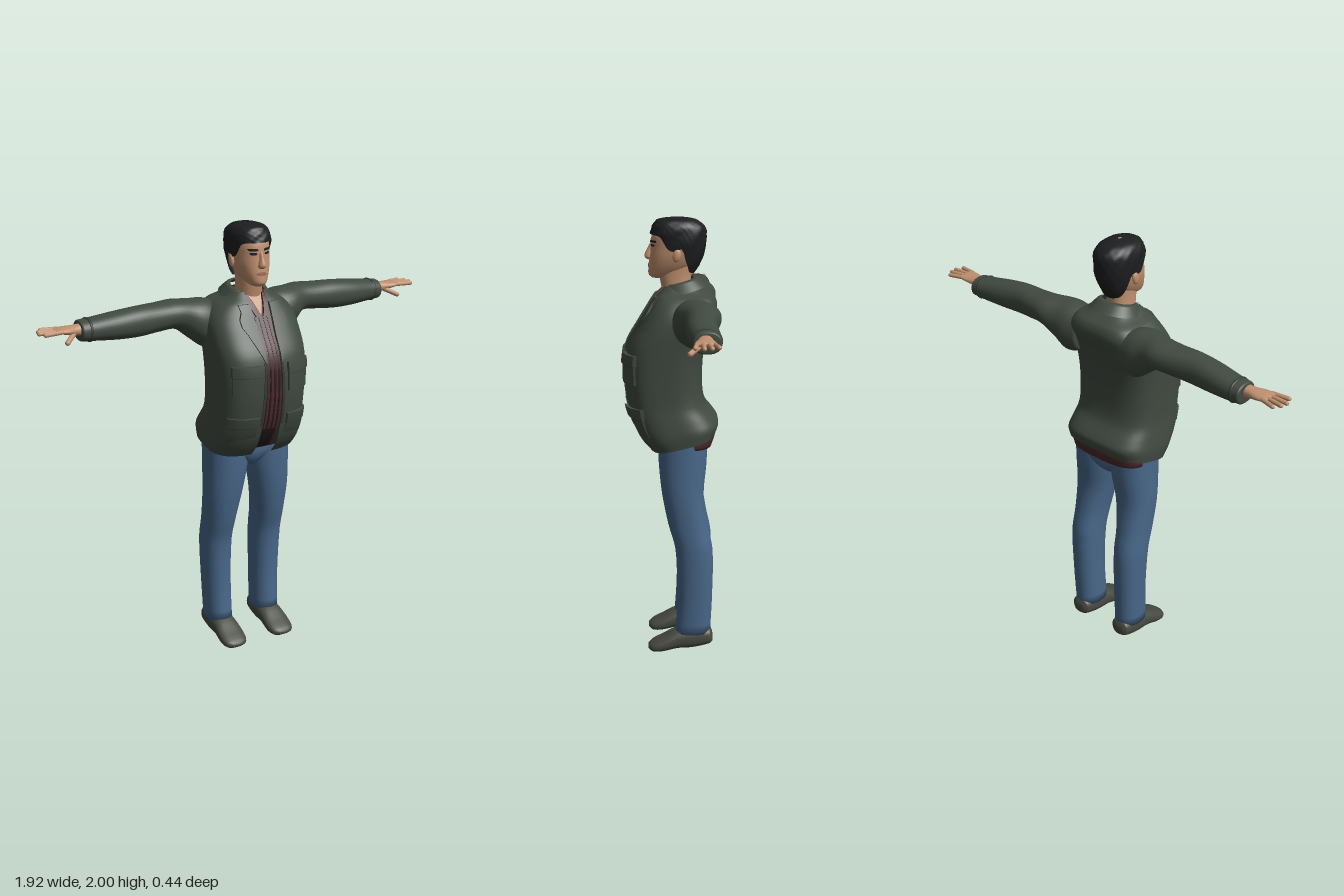
import * as THREE from 'three';

const mat = (name, color, side = THREE.FrontSide) => {
  const m = new THREE.MeshStandardMaterial({ color, side });
  m.name = name;
  return m;
};
const lerp = THREE.MathUtils.lerp;
const spow = (v, e) => Math.sign(v) * Math.abs(v) ** e;

// Smooth lookup in rows keyed by their first number
function sample(rows, t) {
  const n = rows.length;
  let i = 0;
  while (i < n - 2 && t > rows[i + 1][0]) i++;
  const a = rows[i], b = rows[i + 1], p = rows[Math.max(i - 1, 0)], q = rows[Math.min(i + 2, n - 1)];
  const h = b[0] - a[0], s = THREE.MathUtils.clamp((t - a[0]) / h, 0, 1);
  return a.map((v, k) => {
    const m0 = (b[k] - p[k]) / (b[0] - p[0]) * h, m1 = (q[k] - a[k]) / (q[0] - a[0]) * h;
    return v + s * m0 + s * s * (3 * (b[k] - v) - 2 * m0 - m1) + s ** 3 * (2 * (v - b[k]) + m0 + m1);
  });
}

// Grid surface; a closed one wraps around and gets end caps
function grid(fn, nu, nv, closed) {
  const pos = [], idx = [], cols = closed ? nu : nu + 1;
  for (let j = 0; j <= nv; j++) for (let i = 0; i < cols; i++) pos.push(...fn(i / nu, j / nv));
  for (let j = 0; j < nv; j++) for (let i = 0; i < nu; i++) {
    const a = j * cols + i, b = j * cols + (i + 1) % cols;
    idx.push(a, b, b + cols, a, b + cols, a + cols);
  }
  if (closed) for (const j of [0, nv]) {
    const c = pos.length / 3, mid = [0, 0, 0];
    for (let i = 0; i < nu; i++) for (let k = 0; k < 3; k++) mid[k] += pos[(j * cols + i) * 3 + k] / nu;
    pos.push(...mid);
    for (let i = 0; i < nu; i++) {
      const a = j * cols + i, b = j * cols + (i + 1) % nu;
      idx.push(c, ...(j ? [a, b] : [b, a]));
    }
  }
  const g = new THREE.BufferGeometry();
  g.setAttribute('position', new THREE.Float32BufferAttribute(pos, 3));
  g.setIndex(idx);
  g.computeVertexNormals();
  return g;
}

// Loft of rounded sections: [along, halfWidth, front, back, centre, tilt, gap]
function loft(rows, { e = 0.9, axis = 'y', open = false, nu = 32 } = {}) {
  const nv = (rows.length - 1) * 4;
  return grid((u, v) => {
    const k = Math.min(Math.floor(v * nv / 4), rows.length - 2), f = v * nv / 4 - k;
    const [y, w, zf, zb, cx = 0, tilt = 0, gap = 0] = sample(rows, lerp(rows[k][0], rows[k + 1][0], f));
    const t0 = open ? Math.asin(Math.min(gap / w, 1) ** (1 / e)) : 0;
    const th = lerp(t0, 2 * Math.PI - t0, u);
    const x = cx + w * spow(Math.sin(th), e);
    const z = (zf + zb) / 2 + (zf - zb) / 2 * spow(Math.cos(th), e);
    const yy = y - tilt * z;
    return axis === 'y' ? [x, yy, z] : axis === 'x' ? [yy, z, x] : [z, x, yy];
  }, nu, nv, !open);
}

// Front height of an upright loft
function frontZ(rows, e, x, y) {
  const [, w, zf, zb] = sample(rows, y);
  const s = Math.min(Math.abs(x) / w, 0.995) ** (1 / e);
  return (zf + zb) / 2 + (zf - zb) / 2 * Math.sqrt(1 - s * s) ** e;
}

// Plate hugging the front of a loft; outline rows are [y, x0, x1]
function plate(body, e, outline, thick, sink = 0.006) {
  const g = new THREE.BoxGeometry(1, 1, 1, 8, 8, 1), p = g.attributes.position;
  const y0 = outline[0][0], y1 = outline[outline.length - 1][0];
  for (let i = 0; i < p.count; i++) {
    const [y, a, b] = sample(outline, lerp(y0, y1, p.getY(i) + 0.5));
    const x = lerp(a, b, p.getX(i) + 0.5);
    p.setXYZ(i, x, y, frontZ(body, e, x, y) + (p.getZ(i) > 0 ? thick : -sink));
  }
  g.computeVertexNormals();
  return g;
}

function capsule(a, b, r) {
  const A = new THREE.Vector3(...a), B = new THREE.Vector3(...b), d = B.clone().sub(A);
  const g = new THREE.CapsuleGeometry(r, d.length(), 4, 10);
  g.applyQuaternion(new THREE.Quaternion().setFromUnitVectors(new THREE.Vector3(0, 1, 0), d.normalize()));
  return g.translate(...A.add(B).multiplyScalar(0.5).toArray());
}

function mirrored(g) {
  const m = g.clone().scale(-1, 1, 1), ix = m.index;
  for (let i = 0; i < ix.count; i += 3) {
    const t = ix.getX(i);
    ix.setX(i, ix.getX(i + 1));
    ix.setX(i + 1, t);
  }
  return m;
}

export function createModel() {
  const root = new THREE.Group();
  const skin = mat('skin', 0xc0906f), hairM = mat('hair', 0x1d1e20, THREE.DoubleSide);
  const green = mat('jacket green', 0x414a41, THREE.DoubleSide), seam = mat('dark green trim', 0x353d36);
  const red = mat('shirt red', 0x4e2a2c), dark = mat('shirt dark stripe', 0x241a1c);
  const denim = mat('denim', 0x49688a), leather = mat('shoe leather', 0x484b42), lip = mat('lips', 0x9a6552);
  const add = (name, g, m) => {
    const mesh = new THREE.Mesh(g, m);
    mesh.name = name;
    root.add(mesh);
  };
  const pair = (name, g, m) => { add('left ' + name, g, m); add('right ' + name, mirrored(g), m); };

  // Jacket body, open down the front
  const E = 0.65;
  const torso = [
    [0.985, 0.22, 0.09, -0.2, 0, 0.25, 0.05], [1.04, 0.225, 0.135, -0.215, 0, 0.2, 0.05],
    [1.1, 0.22, 0.17, -0.195, 0, 0.1, 0.048], [1.18, 0.212, 0.195, -0.152, 0, 0, 0.045],
    [1.3, 0.213, 0.208, -0.14, 0, 0, 0.042], [1.43, 0.217, 0.197, -0.15, 0, 0, 0.036],
    [1.53, 0.218, 0.142, -0.18, 0, 0, 0.04], [1.6, 0.205, 0.1, -0.205, 0, 0, 0.045],
    [1.65, 0.165, 0.07, -0.195, 0, 0, 0.05], [1.675, 0.115, 0.05, -0.16, 0, 0, 0.05],
    [1.7, 0.085, 0.03, -0.12, 0, 0, 0.05]];
  add('jacket body', loft(torso, { e: E, open: true, nu: 56 }), green);
  add('jacket collar', loft([
    [1.66, 0.118, 0.06, -0.165, 0, 0.25, 0.075], [1.695, 0.094, 0.04, -0.13, 0, 0.25, 0.065],
    [1.706, 0.084, 0.03, -0.115, 0, 0.25, 0.06], [1.708, 0.072, 0.025, -0.1, 0, 0.25, 0.055]],
  { e: 0.9, open: true }), green);
  pair('lapel', plate(torso, E, [[1.42, 0.036, 0.042], [1.54, 0.04, 0.095], [1.59, 0.045, 0.12],
    [1.605, 0.046, 0.1], [1.655, 0.05, 0.1]], 0.009), green);
  pair('front hem edge', plate(torso, E, [[1.0, 0.048, 0.06], [1.2, 0.044, 0.056], [1.42, 0.037, 0.047]], 0.004), seam);

  // Patch pockets with flaps
  for (const [y0, y1, a, b, name] of [[1.28, 1.4, 0.07, 0.187, 'chest'], [1.04, 1.16, 0.075, 0.195, 'lower']]) {
    pair(name + ' pocket', plate(torso, E, [[y0, a, b], [y1, a, b]], 0.01), green);
    pair(name + ' pocket flap', plate(torso, E, [[y1 - 0.035, a - 0.004, b + 0.003], [y1 + 0.012, a - 0.004, b + 0.003]], 0.017), green);
    pair(name + ' pocket seam', plate(torso, E, [[y1 - 0.04, a, b], [y1 - 0.034, a, b]], 0.0125), seam);
  }

  // Sleeves along x
  pair('sleeve', loft([
    [0.12, 0.08, 1.645, 1.47, -0.11], [0.19, 0.1, 1.665, 1.445, -0.105], [0.25, 0.096, 1.667, 1.485, -0.108],
    [0.32, 0.083, 1.668, 1.538, -0.13], [0.4, 0.074, 1.664, 1.538, -0.128], [0.5, 0.067, 1.662, 1.53, -0.12],
    [0.6, 0.067, 1.652, 1.53, -0.125], [0.7, 0.062, 1.638, 1.536, -0.135], [0.755, 0.058, 1.632, 1.54, -0.138],
    [0.768, 0.054, 1.628, 1.544, -0.138], [0.77, 0.038, 1.615, 1.56, -0.135]], { axis: 'x' }), green);
  pair('cuff band', loft([[0.722, 0.06, 1.637, 1.535, -0.137], [0.728, 0.0625, 1.639, 1.533, -0.137],
    [0.734, 0.06, 1.636, 1.536, -0.137]], { axis: 'x' }), seam);

  // Hands
  pair('palm', loft([[0.75, 0.03, 1.62, 1.565, -0.13], [0.79, 0.032, 1.617, 1.572, -0.13],
    [0.83, 0.042, 1.615, 1.582, -0.128], [0.865, 0.043, 1.613, 1.59, -0.128], [0.882, 0.036, 1.609, 1.596, -0.128]],
  { axis: 'x', nu: 20 }), skin);
  [[0.925, -0.178], [0.945, -0.15], [0.952, -0.12], [0.937, -0.085]].forEach(([tip, z], i) =>
    pair('finger ' + (i + 1), capsule([0.86, 1.602, -0.16 + i * 0.022], [tip, 1.601, z], 0.0095), skin));
  pair('thumb', capsule([0.795, 1.587, -0.115], [0.848, 1.56, -0.068], 0.0115), skin);

  // Shirt under the jacket, with stripes and neck opening
  const shirt = torso.map(([y, w, f, b]) => [y, w - 0.018, f - 0.014, b + 0.014]);
  add('shirt', loft(shirt, { e: E, nu: 48 }), red);
  for (const x of [-0.034, -0.012, 0.012, 0.034])
    add('shirt stripe', plate(shirt, E, [[1.0, x - 0.004, x + 0.004], [1.6, x * 0.9 - 0.003, x * 0.9 + 0.003]], 0.003), dark);
  add('shirt lower panel', plate(shirt, E, [[0.99, -0.04, 0.04], [1.1, -0.03, 0.03]], 0.004), dark);
  add('neck opening', plate(shirt, E, [[1.61, -0.003, 0.003], [1.685, -0.032, 0.032]], 0.005), skin);
  pair('shirt collar', plate(shirt, E, [[1.6, 0.008, 0.026], [1.64, 0.022, 0.045], [1.69, 0.036, 0.054]], 0.012), red);

  // Jeans
  add('jeans hips', loft([[0.885, 0.03, 0.02, -0.12], [0.92, 0.1, 0.045, -0.155],
    [0.96, 0.19, 0.058, -0.165], [1.06, 0.203, 0.06, -0.165]]), denim);
  pair('jeans leg', loft([
    [0.095, 0.062, -0.02, -0.182, 0.127], [0.28, 0.065, -0.03, -0.19, 0.13], [0.5, 0.071, -0.02, -0.19, 0.133],
    [0.62, 0.075, 0.012, -0.166, 0.13], [0.76, 0.089, 0.04, -0.148, 0.121], [0.9, 0.101, 0.055, -0.16, 0.108],
    [1.04, 0.103, 0.06, -0.165, 0.105]]), denim);

  // Shoes along z
  pair('shoe', loft([
    [-0.192, 0.022, 0.155, 0.1, 0.07], [-0.178, 0.04, 0.175, 0.08, 0.078], [-0.1, 0.05, 0.184, 0.07, 0.07],
    [-0.03, 0.046, 0.185, 0.068, 0.062], [0.04, 0.033, 0.19, 0.064, 0.036], [0.085, 0.021, 0.18, 0.075, 0.024],
    [0.105, 0.008, 0.152, 0.104, 0.022]], { axis: 'z', e: 0.8 }), leather);

  // Neck and head
  add('neck', loft([[1.62, 0.06, 0.03, -0.1], [1.69, 0.056, 0.042, -0.09], [1.74, 0.054, 0.05, -0.09],
    [1.8, 0.055, 0.05, -0.1]]), skin);
  const head = [
    [1.732, 0.024, 0.084, 0.02], [1.745, 0.042, 0.098, -0.03], [1.765, 0.055, 0.1, -0.07], [1.795, 0.068, 0.097, -0.1],
    [1.83, 0.077, 0.093, -0.12], [1.87, 0.08, 0.089, -0.135], [1.91, 0.081, 0.086, -0.14],
    [1.95, 0.074, 0.07, -0.13], [1.98, 0.05, 0.04, -0.1]];
  add('head', loft(head), skin);
  add('nose', loft([[1.812, 0.011, 0.104, 0.06], [1.82, 0.018, 0.114, 0.06], [1.832, 0.016, 0.117, 0.06],
    [1.86, 0.009, 0.104, 0.06], [1.888, 0.008, 0.091, 0.06]], { nu: 16 }), skin);
  pair('ear', new THREE.SphereGeometry(1, 14, 10).scale(0.011, 0.03, 0.018).rotateX(-0.2).translate(0.084, 1.838, -0.025), skin);
  pair('eye', plate(head, 0.9, [[1.872, 0.024, 0.042], [1.876, 0.018, 0.048], [1.881, 0.022, 0.046]], 0.002), hairM);
  pair('eyebrow', plate(head, 0.9, [[1.89, 0.014, 0.05], [1.899, 0.018, 0.056]], 0.004), hairM);
  add('mouth', plate(head, 0.9, [[1.781, -0.014, 0.014], [1.788, -0.026, 0.026], [1.796, -0.014, 0.014]], 0.003), lip);

  // Short hair: a cap whose lower edge drops from brow to nape
  const cap = [
    [1.745, 0.058, 0.06, -0.1], [1.8, 0.076, 0.075, -0.132], [1.85, 0.086, 0.086, -0.15], [1.9, 0.091, 0.094, -0.157],
    [1.95, 0.089, 0.086, -0.153], [1.975, 0.076, 0.072, -0.13], [1.99, 0.054, 0.05, -0.1], [1.999, 0.006, -0.02, -0.04]];
  const edge = [[-1, 1.75], [-0.6, 1.765], [-0.3, 1.81], [-0.1, 1.865], [0.1, 1.855], [0.35, 1.865], [0.6, 1.915], [1, 1.925]];
  add('hair', grid((u, v) => {
    const th = u * 2 * Math.PI, c = Math.cos(th);
    const y = lerp(sample(edge, c)[1], 1.999, 1 - (1 - v) ** 1.7);
    const [, w, f, b] = sample(cap, y);
    const k = 1 + 0.022 * Math.sin(th * 13 + v * 9) * Math.sin(v * 25 + th * 4);
    return [w * k * spow(Math.sin(th), 0.9), y, (f + b) / 2 + (f - b) / 2 * k * spow(c, 0.9)];
  }, 72, 24, false), hairM);

  return root;
}
